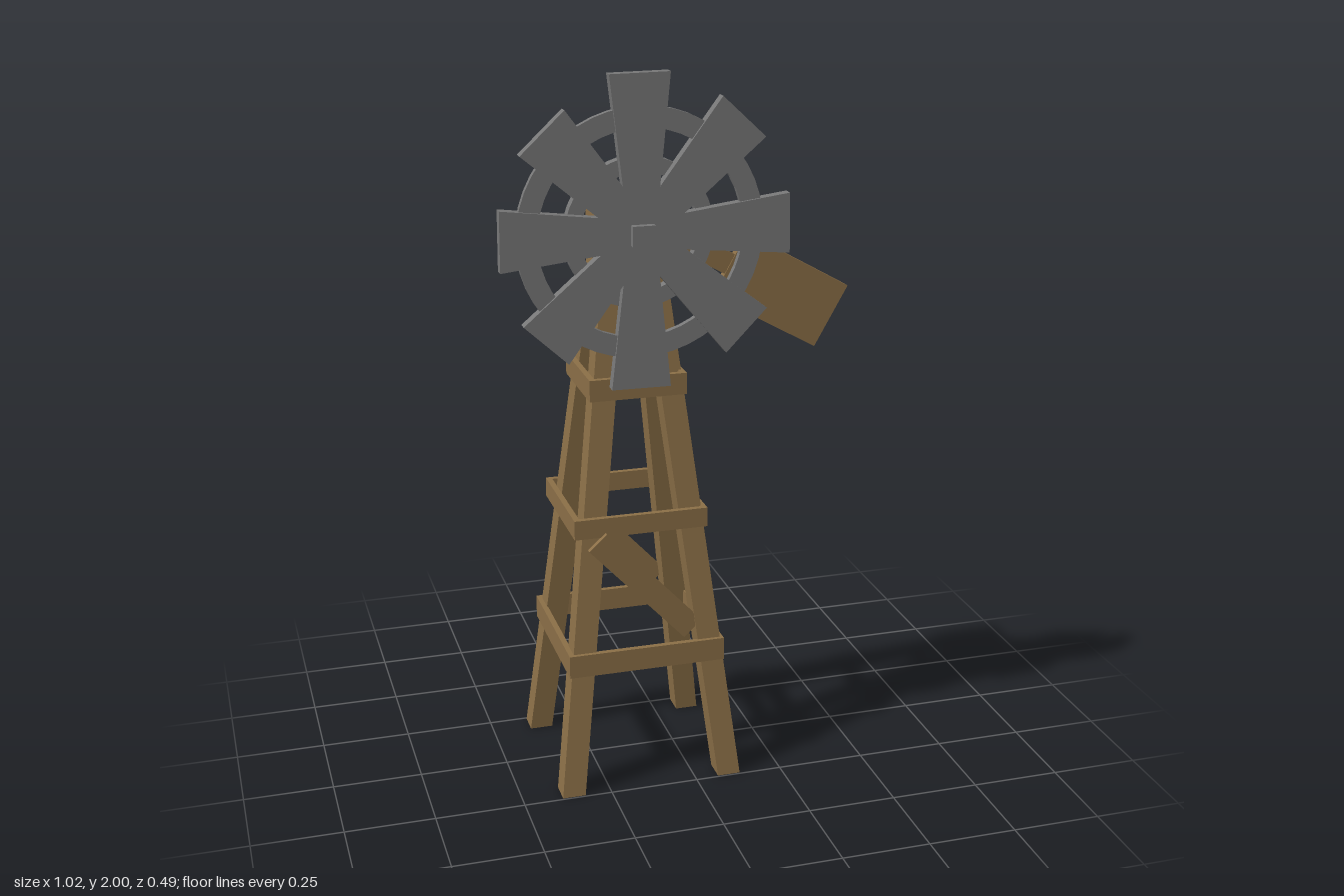
import * as THREE from 'three';

const wood = new THREE.MeshStandardMaterial({ color: 0x8b6f47, flatShading: true });
const metal = new THREE.MeshStandardMaterial({ color: 0x777777, flatShading: true });

const AXIS_X = -0.13;   // centre line of the tower
const HUB_Y = 1.583;

export function createModel() {
  const model = new THREE.Group();
  model.name = 'windmill';

  const add = (parent, name, geometry, material) => {
    const mesh = new THREE.Mesh(geometry, material);
    mesh.name = name;
    parent.add(mesh);
    return mesh;
  };
  // Box given by its lower and upper limits
  const block = (parent, name, material, [x0, y0, z0], [x1, y1, z1]) => {
    const mesh = add(parent, name, new THREE.BoxGeometry(x1 - x0, y1 - y0, z1 - z0), material);
    mesh.position.set((x0 + x1) / 2, (y0 + y1) / 2, (z0 + z1) / 2);
    return mesh;
  };
  // Plank from a to b in the xy plane
  const plank = (parent, name, a, b, width, z0, z1) => {
    const length = Math.hypot(b[0] - a[0], b[1] - a[1]);
    const mesh = add(parent, name, new THREE.BoxGeometry(length, width, z1 - z0), wood);
    mesh.position.set((a[0] + b[0]) / 2, (a[1] + b[1]) / 2, (z0 + z1) / 2);
    mesh.rotation.z = Math.atan2(b[1] - a[1], b[0] - a[0]);
  };

  // Tower: four leaning legs with level feet
  const tower = new THREE.Group();
  tower.name = 'tower';
  model.add(tower);
  const legHeight = 1.56;
  for (const sx of [-1, 1]) {
    for (const sz of [-1, 1]) {
      const geo = new THREE.BoxGeometry(0.065, legHeight, 0.065);
      geo.translate(0, legHeight / 2, 0);
      const p = geo.attributes.position;
      for (let i = 0; i < p.count; i++) {
        const t = p.getY(i) / legHeight;
        p.setX(i, p.getX(i) + AXIS_X + sx * THREE.MathUtils.lerp(0.2275, 0.045, t));
        p.setZ(i, p.getZ(i) + sz * THREE.MathUtils.lerp(0.2125, 0.043, t) - 0.005 * t);
      }
      geo.computeVertexNormals();
      add(tower, 'leg', geo, wood);
    }
  }

  // Square frames of planks around the legs
  const frames = [
    { y: [0.35, 0.415], x: [-0.355, 0.09], z: [-0.22, 0.21] },
    { y: [0.745, 0.8], x: [-0.327, 0.05], z: [-0.18, 0.175] },
    { y: [1.125, 1.185], x: [-0.272, -0.001], z: [-0.13, 0.145] },
  ];
  const t = 0.016;
  for (const { y, x, z } of frames) {
    block(tower, 'frontRail', wood, [x[0], y[0], z[1] - t], [x[1], y[1], z[1]]);
    block(tower, 'backRail', wood, [x[0], y[0], z[0]], [x[1], y[1], z[0] + t]);
    block(tower, 'rightRail', wood, [x[0], y[0], z[0] + t], [x[0] + t, y[1], z[1] - t]);
    block(tower, 'leftRail', wood, [x[1] - t, y[0], z[0] + t], [x[1], y[1], z[1] - t]);
  }

  // Diagonal braces, front and back
  plank(tower, 'frontBrace', [-0.265, 0.735], [0.005, 0.445], 0.068, 0.172, 0.188);
  plank(tower, 'backBrace', [-0.265, 0.735], [0.005, 0.445], 0.068, -0.2, -0.184);

  // Cap block
  block(tower, 'cap', wood, [-0.218, 1.535, -0.093], [-0.047, 1.62, 0.082]);

  // Tail: boom and drooping vane
  const tail = new THREE.Group();
  tail.name = 'tail';
  model.add(tail);
  plank(tail, 'boom', [-0.09, 1.584], [0.2, 1.421], 0.06, 0, 0.019);
  plank(tail, 'vane', [0.158, 1.444], [0.457, 1.275], 0.194, -0.005, 0.022);

  // Wheel
  const wheel = new THREE.Group();
  wheel.name = 'wheel';
  wheel.position.set(-0.135, HUB_Y, 0);
  model.add(wheel);
  block(wheel, 'axle', metal, [-0.031, -0.027, 0.07], [0.031, 0.027, 0.205]);

  // Tapered blades: [tip x, tip y]
  const tips = [
    [-0.004, 0.417], [0.276, 0.294], [0.405, 0.006], [0.288, -0.28],
    [-0.004, -0.417], [-0.26, -0.28], [-0.376, 0.003], [-0.26, 0.276],
  ];
  for (const [x, y] of tips) {
    const r = Math.hypot(x, y);
    const shape = new THREE.Shape([
      new THREE.Vector2(0, -0.036), new THREE.Vector2(r, -0.081),
      new THREE.Vector2(r, 0.081), new THREE.Vector2(0, 0.036),
    ]);
    const blade = add(wheel, 'blade', new THREE.ExtrudeGeometry(shape, { depth: 0.03, bevelEnabled: false }), metal);
    blade.position.z = 0.155;
    blade.rotation.z = Math.atan2(y, x);
  }

  // Flat rings tying the blades together
  const ring = (name, inner, outer, z0, z1) => {
    const shape = new THREE.Shape().absarc(0, 0, outer, 0, Math.PI * 2);
    shape.holes.push(new THREE.Path().absarc(0, 0, inner, 0, Math.PI * 2, true));
    const geo = new THREE.ExtrudeGeometry(shape, { depth: z1 - z0, bevelEnabled: false, curveSegments: 24 });
    add(wheel, name, geo, metal).position.z = z0;
  };
  ring('outerRing', 0.277, 0.333, 0.16, 0.178);
  ring('innerRing', 0.16, 0.202, 0.13, 0.16);

  return model;
}
